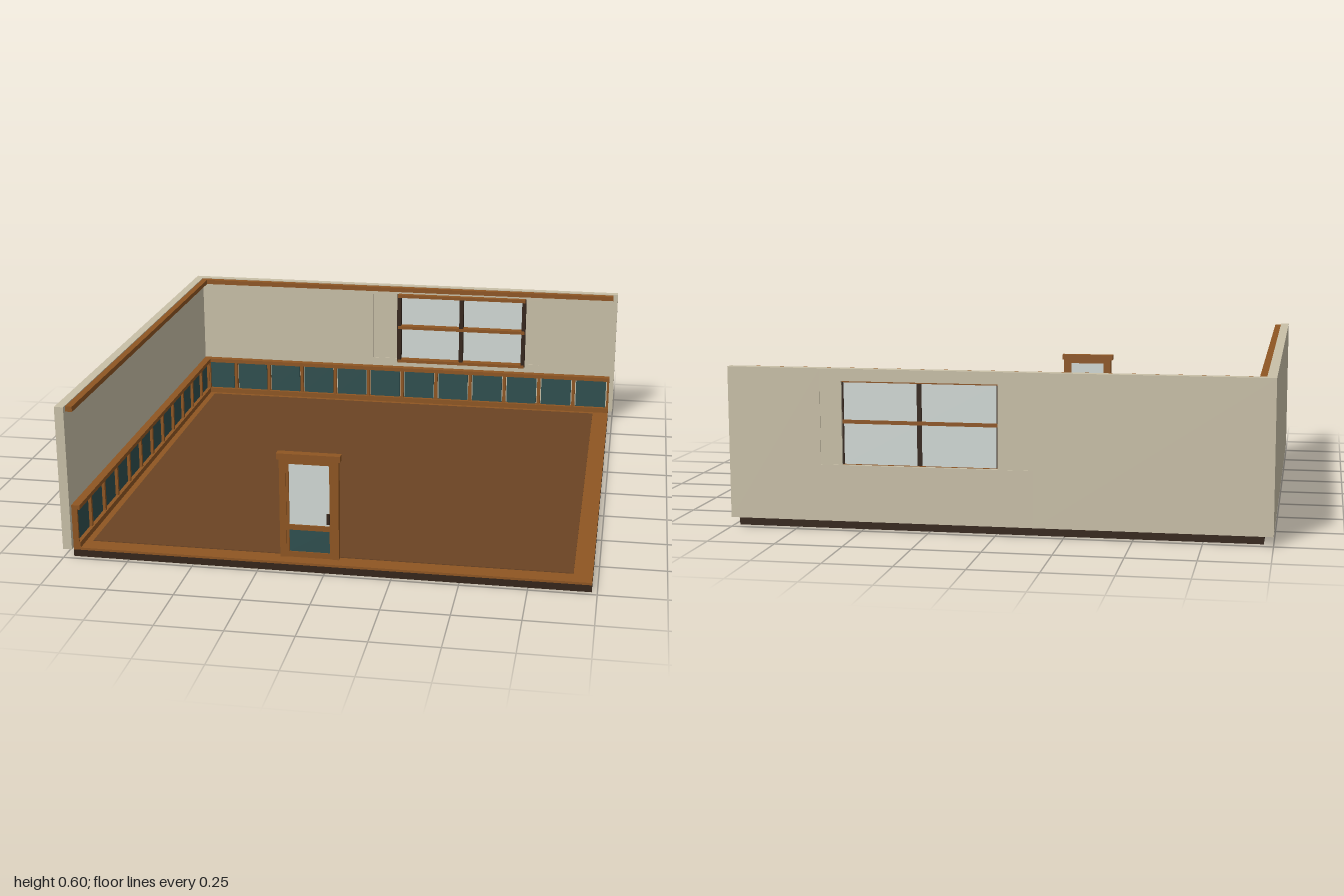
import * as THREE from 'three';

const mat = (name, color) => {
  const m = new THREE.MeshStandardMaterial({ color });
  m.name = name;
  return m;
};

export function createModel() {
  const plaster = mat('plaster', 0xc9c0a8);
  const wood = mat('trim wood', 0x8f5622);
  const floorWood = mat('floor wood', 0x6b4423);
  const dark = mat('dark wood', 0x35251a);
  const teal = mat('teal panel', 0x2f4f4f);
  const glass = mat('glass', 0xd2dad6);

  const model = new THREE.Group();
  model.name = 'room';
  const group = (name) => {
    const g = new THREE.Group();
    g.name = name;
    model.add(g);
    return g;
  };
  // Box given by its minimum and maximum on each axis
  const box = (parent, name, material, x0, x1, y0, y1, z0, z1) => {
    const mesh = new THREE.Mesh(new THREE.BoxGeometry(x1 - x0, y1 - y0, z1 - z0), material);
    mesh.position.set((x0 + x1) / 2, (y0 + y1) / 2, (z0 + z1) / 2);
    mesh.name = name;
    parent.add(mesh);
    return mesh;
  };

  // Floor: dark slab, wooden border and inner field
  const floor = group('floor');
  box(floor, 'slab', dark, -0.965, 0.98, 0, 0.027, -0.965, 0.98);
  box(floor, 'border', wood, -0.965, 0.98, 0.027, 0.036, -0.965, 0.98);
  box(floor, 'field', floorWood, -0.91, 0.91, 0.036, 0.039, -0.91, 0.91);

  // Side wall, and back wall built around the window opening
  const walls = group('walls');
  box(walls, 'sideWall', plaster, -1, -0.965, 0.035, 0.6, -0.965, 1);
  box(walls, 'backWallLeft', plaster, -1, -0.14, 0.035, 0.6, -1, -0.965);
  box(walls, 'backWallRight', plaster, 0.65, 1, 0.035, 0.6, -1, -0.965);
  box(walls, 'backWallBelow', plaster, -0.14, 0.65, 0.035, 0.245, -1, -0.965);
  box(walls, 'backWallAbove', plaster, -0.14, 0.65, 0.555, 0.6, -1, -0.965);
  box(walls, 'windowInfillLeft', plaster, -0.14, -0.01, 0.245, 0.555, -0.997, -0.968);
  box(walls, 'windowInfillRight', plaster, 0.57, 0.65, 0.245, 0.555, -0.997, -0.968);

  // Window: dark uprights, brown crossbars and one pane
  const win = group('window');
  box(win, 'pane', glass, -0.01, 0.57, 0.245, 0.555, -0.983, -0.977);
  for (const x of [-0.013, 0.281, 0.573]) {
    box(win, 'upright', dark, x - 0.009, x + 0.009, 0.236, 0.562, -0.985, -0.944);
  }
  for (const y of [0.24, 0.404, 0.556]) {
    box(win, 'crossbar', wood, -0.018, 0.578, y - 0.007, y + 0.007, -0.986, -0.94);
  }

  // Panelling along one wall; u runs along the wall, d is distance from it
  const panelling = (name, place) => {
    const g = group(name);
    const part = (label, m, u0, u1, y0, y1, d) => place(g, label, m, u0, u1, y0, y1, d);
    part('baseRail', wood, -0.965, 0.98, 0.036, 0.058, 0.028);
    part('chairRail', wood, -0.965, 0.98, 0.19, 0.207, 0.032);
    part('crownRail', wood, -0.965, 0.98, 0.577, 0.597, 0.026);
    part('cornerStile', wood, -0.965, -0.936, 0.058, 0.19, 0.024);
    const pitch = 0.1625;
    for (let i = 0; i < 12; i++) {
      const u = -0.81 + pitch * i;
      const end = Math.min(u + 0.007, 0.98);
      part('stile', wood, u - 0.007, end, 0.058, 0.19, 0.022);
      part('panel', teal, Math.max(u - pitch + 0.012, -0.936), u - 0.012, 0.058, 0.19, 0.012);
    }
  };
  panelling('backPanelling', (g, n, m, u0, u1, y0, y1, d) =>
    box(g, n, m, u0, u1, y0, y1, -0.965, -0.965 + d));
  panelling('sidePanelling', (g, n, m, u0, u1, y0, y1, d) =>
    box(g, n, m, -0.965, -0.965 + d, y0, y1, u0, u1));

  // Free-standing door in its frame
  const door = group('door');
  box(door, 'header', wood, -0.185, 0.053, 0.423, 0.446, 0.905, 0.937);
  for (const x of [-0.176, 0.021]) {
    box(door, 'jamb', wood, x, x + 0.025, 0.036, 0.423, 0.908, 0.934);
  }
  for (const x of [-0.151, 0.011]) {
    box(door, 'leafStile', wood, x, x + 0.01, 0.036, 0.423, 0.912, 0.93);
  }
  for (const [y0, y1] of [[0.036, 0.058], [0.145, 0.165], [0.405, 0.423]]) {
    box(door, 'leafRail', wood, -0.141, 0.011, y0, y1, 0.912, 0.93);
  }
  box(door, 'doorGlass', glass, -0.141, 0.011, 0.165, 0.405, 0.918, 0.924);
  box(door, 'doorPanel', teal, -0.141, 0.011, 0.058, 0.145, 0.916, 0.926);
  box(door, 'handle', dark, 0, 0.012, 0.175, 0.215, 0.908, 0.935);

  return model;
}
